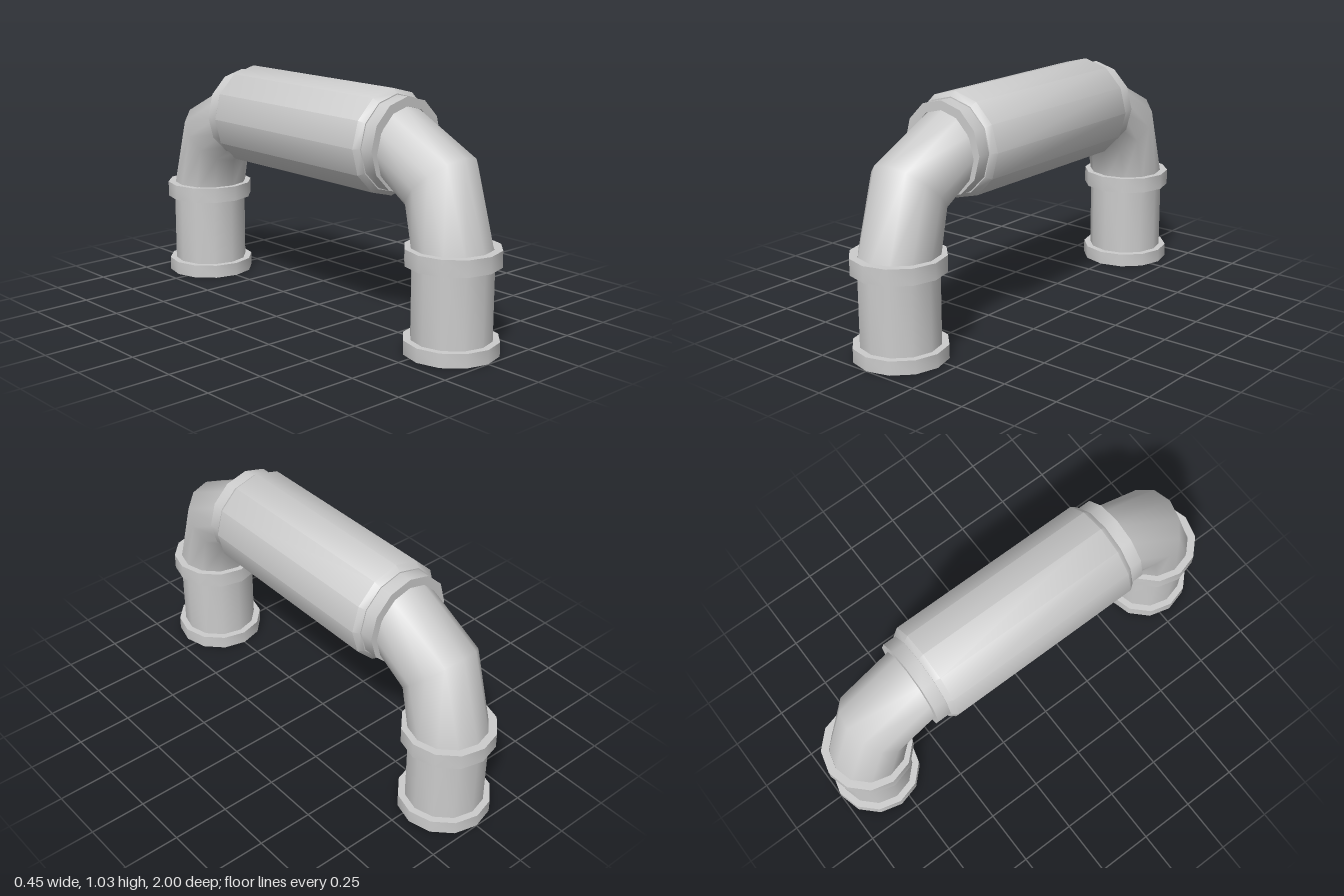
import * as THREE from 'three';
import { toCreasedNormals } from 'three/addons/utils/BufferGeometryUtils.js';

const SIDES = 12;
const PIPE_R = 0.17;
const RING_R = 0.2;
const LEG_Z = 0.8;
const AXIS_Y = 0.81;

const grey = new THREE.MeshStandardMaterial({ color: 0xcccccc, side: THREE.DoubleSide });

// Solid of revolution about y with sharp rims and smooth sides
function turned(name, profile) {
  const points = profile.map(([r, y]) => new THREE.Vector2(r, y));
  const mesh = new THREE.Mesh(toCreasedNormals(new THREE.LatheGeometry(points, SIDES), 0.7), grey);
  mesh.name = name;
  return mesh;
}

// Flat band with a hole, closed on all sides
function band(name, y0, y1, inner = PIPE_R - 0.005) {
  return turned(name, [[inner, y0], [RING_R, y0], [RING_R, y1], [inner, y1], [inner, y0]]);
}

// Two-segment bend: each section is [z, y, tilt]
function elbow() {
  const sections = [[0.8, 0.41, 0], [0.73, 0.685, Math.PI / 4], [0.5, AXIS_Y, Math.PI / 2]];
  const positions = [];
  const index = [];
  sections.forEach(([z, y, tilt], i) => {
    for (let j = 0; j < SIDES; j++) {
      const a = (j / SIDES) * Math.PI * 2;
      const out = PIPE_R * Math.sin(a);
      positions.push(PIPE_R * Math.cos(a), y + out * Math.sin(tilt), z + out * Math.cos(tilt));
      if (i === sections.length - 1) continue;
      const p = i * SIDES + j;
      const q = i * SIDES + ((j + 1) % SIDES);
      index.push(p, p + SIDES, q, q, p + SIDES, q + SIDES);
    }
  });
  const geometry = new THREE.BufferGeometry();
  geometry.setAttribute('position', new THREE.Float32BufferAttribute(positions, 3));
  geometry.setIndex(index);
  const mesh = new THREE.Mesh(toCreasedNormals(geometry, 1.1), grey);
  mesh.name = 'elbow';
  return mesh;
}

// One leg with its bands, bend and collar, on the +z side
function pipeEnd(name) {
  const group = new THREE.Group();
  group.name = name;

  const upright = [
    turned('legPipe', [[PIPE_R, 0.01], [PIPE_R, 0.43]]),
    band('footBand', 0, 0.06),
    band('jointBand', 0.37, 0.44),
  ];
  upright.forEach((part) => { part.position.z = LEG_Z; });

  const collar = band('sleeveCollar', 0.46, 0.535, 0.16);
  collar.rotation.x = Math.PI / 2;
  collar.position.y = AXIS_Y;

  group.add(...upright, elbow(), collar);
  return group;
}

export function createModel() {
  const model = new THREE.Group();
  model.name = 'pipeArch';

  // Thick horizontal sleeve with bevelled ends
  const sleeve = turned('sleeve', [
    [0, -0.475], [0.205, -0.475], [0.225, -0.45],
    [0.225, 0.45], [0.205, 0.475], [0, 0.475],
  ]);
  sleeve.rotation.x = Math.PI / 2;
  sleeve.position.y = AXIS_Y;

  const front = pipeEnd('frontPipe');
  const back = pipeEnd('backPipe');
  back.rotation.y = Math.PI;

  model.add(sleeve, front, back);
  return model;
}
